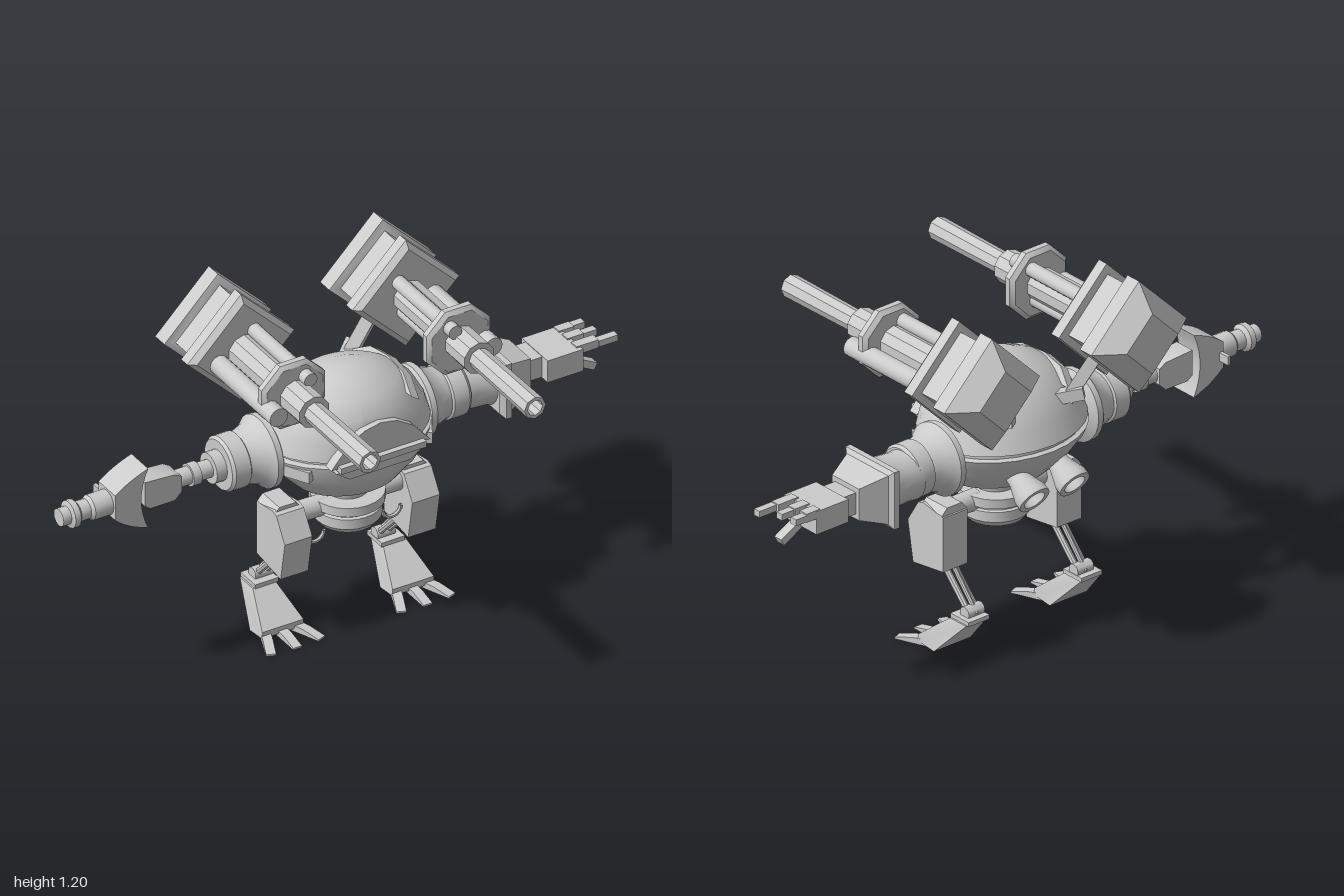
import * as THREE from 'three';
import { toCreasedNormals } from 'three/addons/utils/BufferGeometryUtils.js';

const V = (x, y, z) => new THREE.Vector3(x, y, z);
const smooth = new THREE.MeshStandardMaterial({ color: 0xcccccc, side: THREE.DoubleSide });

function add(parent, name, geo, x = 0, y = 0, z = 0) {
  const m = new THREE.Mesh(toCreasedNormals(geo, 0.6), smooth);
  m.name = name;
  m.position.set(x, y, z);
  parent.add(m);
  return m;
}
function group(parent, name, x = 0, y = 0, z = 0, mirror = 1) {
  const g = new THREE.Group();
  g.name = name;
  g.position.set(x, y, z);
  g.scale.x = mirror;
  parent.add(g);
  return g;
}
// Turned profile of [radius, distance] pairs along the x, y or z axis
function turned(pts, axis = 'y', sides = 24, twist = 0) {
  const g = new THREE.LatheGeometry(pts.map(p => new THREE.Vector2(...p)), sides);
  g.rotateY(twist);
  if (axis === 'x') g.rotateZ(-Math.PI / 2);
  if (axis === 'z') g.rotateX(Math.PI / 2);
  return g;
}
const rod = (r, a, b, axis = 'z', sides = 12) => turned([[0, a], [r, a], [r, b], [0, b]], axis, sides);
const box = (w, h, d) => new THREE.BoxGeometry(w, h, d);
function plate(pts, depth) {
  return new THREE.ExtrudeGeometry(new THREE.Shape(pts.map(p => new THREE.Vector2(...p))),
    { depth, bevelEnabled: false }).translate(0, 0, -depth / 2);
}
// Side outline of [z, y] pairs, extruded across x
const sidePlate = (pts, w) => plate(pts.map(([z, y]) => [-z, y]), w).rotateY(Math.PI / 2);
// Straight rod between two points
function strut(parent, name, a, b, r, sides = 8, r2 = r) {
  const d = b.clone().sub(a);
  const m = add(parent, name, new THREE.CylinderGeometry(r2, r, d.length(), sides));
  m.position.copy(a).addScaledVector(d, 0.5);
  m.quaternion.setFromUnitVectors(V(0, 1, 0), d.normalize());
  return m;
}

function buildBody(core) {
  const g = turned([[0, 0.5], [0.13, 0.505], [0.18, 0.53], [0.245, 0.595], [0.28, 0.65], [0.29, 0.68], [0.272, 0.685],
    [0.272, 0.697], [0.287, 0.7], [0.265, 0.76], [0.23, 0.82], [0.17, 0.873], [0.085, 0.91], [0, 0.922]], 'y', 28);
  // Lean the dome forward and flatten the face
  const p = g.attributes.position;
  for (let i = 0; i < p.count; i++) {
    const y = p.getY(i);
    p.setZ(i, Math.min(0.072, p.getZ(i) * 0.84 - 0.147 + Math.abs(y - 0.69) * 0.15));
  }
  add(core, 'bodyShell', g);
  add(core, 'browPlate', plate([[-0.18, 0.695], [0.18, 0.695], [0.12, 0.765], [0.06, 0.803], [0, 0.815], [-0.06, 0.803], [-0.12, 0.765]], 0.035), 0, 0, 0.068);
  add(core, 'upperLip', box(0.31, 0.022, 0.05), 0, 0.695, 0.08);
  add(core, 'lowerLip', plate([[-0.16, 0.675], [-0.11, 0.64], [0.11, 0.64], [0.16, 0.675]], 0.04), 0, 0, 0.062);
  for (const s of [-1, 1]) {
    const side = group(core, s > 0 ? 'leftBodyDetails' : 'rightBodyDetails', 0, 0, 0, s);
    // Pointed ridge following the dome
    const ridge = add(side, 'domeRidge', plate([[-0.17, -0.02], [-0.08, 0.022], [0.02, 0.03], [0.11, 0.015], [0.18, -0.035], [0.02, -0.03]], 0.035)
      .rotateY(Math.PI / 2), 0.165, 0.845, -0.13);
    ridge.rotation.z = -0.6;
    add(side, 'cheekFin', box(0.025, 0.04, 0.09), 0.235, 0.65, -0.02).rotation.y = -0.5;
    // Exhaust pipe with a hollow mouth
    const ex = add(side, 'exhaust', turned([[0, -0.06], [0.032, -0.06], [0.036, 0.04], [0.056, 0.1], [0.056, 0.125],
      [0.038, 0.125], [0.034, 0.06], [0, 0.06]], 'y', 16), 0.082, 0.603, -0.29);
    ex.rotation.x = -Math.PI / 2 - 0.52;
  }
  add(core, 'waist', turned([[0, 0.44], [0.064, 0.44], [0.064, 0.46], [0.082, 0.5], [0.082, 0.52], [0, 0.52]]), 0, 0, -0.115);
  add(core, 'pelvis', turned([[0, 0.36], [0.095, 0.36], [0.11, 0.38], [0.11, 0.415], [0.1, 0.418], [0.1, 0.43],
    [0.12, 0.432], [0.12, 0.464], [0, 0.464]]), 0, 0, -0.115);
}

function buildLeg(core, s) {
  const leg = group(core, s > 0 ? 'leftLeg' : 'rightLeg', 0, 0, 0, s);
  add(leg, 'hipAxle', rod(0.035, 0.08, 0.2, 'x', 16), 0, 0.435, -0.115);
  const cable = add(leg, 'hipCable', new THREE.TorusGeometry(0.033, 0.007, 6, 14, Math.PI), 0.14, 0.365, -0.08);
  cable.rotation.z = Math.PI;
  // Thigh armour with chamfered top corners
  const outline = [[-0.195, 0.275], [-0.05, 0.255], [-0.025, 0.395], [-0.075, 0.475], [-0.1, 0.482], [-0.195, 0.465]];
  add(leg, 'thigh', sidePlate(outline, 0.1), 0.232);
  add(leg, 'thighCap', plate([[-0.05, 0.44], [0.05, 0.44], [0.05, 0.47], [0.03, 0.492], [-0.03, 0.492], [-0.05, 0.47]], 0.1), 0.232, 0, -0.14);
  for (const dx of [-0.016, 0.016])
    strut(leg, 'shinRod', V(0.222 + dx, 0.29, -0.13), V(0.222 + dx, 0.145, -0.268), 0.011);
  strut(leg, 'shinPiston', V(0.222, 0.28, -0.165), V(0.222, 0.145, -0.285), 0.008);
  add(leg, 'ankleJoint', rod(0.022, 0.19, 0.255, 'x'), 0, 0.15, -0.265);
  add(leg, 'anklePlate', box(0.085, 0.015, 0.088), 0.23, 0.132, -0.262);
  // Foot widens from the ankle toward the ground
  const foot = sidePlate([[-0.3, 0.126], [-0.222, 0.126], [-0.11, 0.036], [-0.11, 0.012], [-0.185, 0.004]], 0.15);
  const p = foot.attributes.position;
  for (let i = 0; i < p.count; i++) p.setX(i, p.getX(i) * (1 - 0.45 * Math.max(0, p.getY(i) - 0.036) / 0.09));
  foot.computeVertexNormals();
  add(leg, 'foot', foot, 0.237);
  for (const k of [-1, 0, 1]) {
    const toe = add(leg, 'toe', sidePlate([[-0.03, 0], [0.1, 0], [0.1, 0.006], [0.04, 0.02], [-0.03, 0.024]], 0.032), 0.237 + k * 0.055, 0, -0.122);
    toe.rotation.y = k * 0.38;
  }
}

function buildCannon(core, s) {
  const c = group(core, s > 0 ? 'leftCannon' : 'rightCannon', s * 0.3, 1.005, 0, s);
  // Four-sided housing standing on its corner
  add(c, 'housing', turned([[0, -0.515], [0.105, -0.515], [0.195, -0.45], [0.195, -0.395], [0.16, -0.385], [0.16, -0.3],
    [0.195, -0.295], [0.195, -0.258], [0.17, -0.24], [0, -0.24]], 'z', 4));
  add(c, 'barrelSleeve', rod(0.056, -0.26, 0.18, 'z', 10));
  add(c, 'barrel', turned([[0.036, 0.15], [0.039, 0.515], [0.027, 0.515], [0.027, 0.35], [0, 0.35]], 'z', 8));
  add(c, 'collar', turned([[0, 0.022], [0.11, 0.022], [0.125, 0.035], [0.125, 0.055], [0.11, 0.066], [0, 0.066]], 'z', 8, Math.PI / 8));
  add(c, 'outerTube', rod(0.033, -0.25, 0.118), 0.09, -0.024);
  add(c, 'upperTube', rod(0.024, -0.25, 0.1), -0.037, 0.062);
  add(c, 'lowerTube', rod(0.024, -0.25, 0.04), -0.02, -0.05);
  // Bracket joining the housing to the body
  const arm = strut(core, 'cannonBracket', V(s * 0.12, 0.79, -0.315), V(s * 0.235, 0.93, -0.335), 0.032, 4);
  arm.scale.z = 0.8;
  strut(core, 'bracketFoot', V(s * 0.09, 0.8, -0.29), V(s * 0.16, 0.82, -0.35), 0.028, 4);
}

function buildShoulder(core, s) {
  const g = group(core, s > 0 ? 'leftShoulder' : 'rightShoulder', 0, 0.665, -0.17, s);
  add(g, 'shoulder', turned([[0, 0.2], [0.122, 0.27], [0.122, 0.29], [0.1, 0.315], [0.088, 0.35], [0.085, 0.365],
    [0.092, 0.37], [0.092, 0.425], [0.084, 0.435], [0, 0.435]], 'x', 28));
}

function buildHandArm(root) {
  const a = group(root, 'leftArm', 0, 0.662, -0.18);
  add(a, 'upperArm', turned([[0, 0.43], [0.086, 0.43], [0.083, 0.47], [0.087, 0.53], [0.095, 0.56], [0, 0.56]], 'x', 20));
  const q = Math.SQRT2;
  const cuff = turned([[0, 0.55], [0.085 * q, 0.55], [0.1 * q, 0.565], [0.1 * q, 0.585], [0.085 * q, 0.595],
    [0.055 * q, 0.685], [0, 0.685]], 'x', 4, Math.PI / 4);
  add(a, 'forearm', cuff.scale(1, 1, 1.17));
  add(a, 'wrist', box(0.07, 0.075, 0.1), 0.71, 0, 0);
  add(a, 'palm', box(0.13, 0.08, 0.155), 0.8, 0, 0.005);
  // Three two-jointed fingers and a lowered thumb
  [[-0.055, 0.95], [-0.005, 0.96], [0.05, 1]].forEach(([z, end], i) => {
    const y = 0.03, mid = (0.86 + end) / 2;
    add(a, 'fingerBase', box(mid - 0.85, 0.03, 0.034), (mid + 0.85) / 2, y, z);
    add(a, 'fingerTip', box(end - mid, 0.022, 0.026), (mid + end) / 2, y, z + (i - 1) * 0.006);
  });
  const thumb = add(a, 'thumb', box(0.11, 0.026, 0.034), 0.89, -0.047, 0.02);
  thumb.rotation.z = -0.5;
}

function buildToolArm(root) {
  const a = group(root, 'rightArm', 0, 0.665, -0.168);
  add(a, 'elbowDisc', rod(0.052, -0.455, -0.4, 'x', 20));
  add(a, 'armShaft', rod(0.03, -0.6, -0.44, 'x', 16));
  add(a, 'shaftRing', rod(0.038, -0.53, -0.5, 'x', 16));
  add(a, 'forearmBlock', plate([[-0.71, -0.035], [-0.69, -0.05], [-0.6, -0.05], [-0.575, -0.025], [-0.575, 0.03],
    [-0.6, 0.045], [-0.71, 0.052]], 0.075));
  // Flared guard with swept points
  const guard = new THREE.Shape();
  guard.moveTo(-0.705, -0.108);
  guard.quadraticCurveTo(-0.755, 0, -0.705, 0.11);
  guard.quadraticCurveTo(-0.78, 0.085, -0.825, 0.048);
  guard.lineTo(-0.825, -0.042);
  guard.quadraticCurveTo(-0.78, -0.085, -0.705, -0.108);
  add(a, 'guard', new THREE.ExtrudeGeometry(guard, { depth: 0.1, bevelEnabled: false, curveSegments: 8 }).translate(0, 0, -0.05));
  add(a, 'guardPost', box(0.012, 0.03, 0.06), -0.815, 0, -0.06);
  add(a, 'nozzle', turned([[0, -1], [0.03, -1], [0.03, -0.97], [0.046, -0.965], [0.046, -0.945], [0.033, -0.935],
    [0.033, -0.9], [0.042, -0.89], [0.042, -0.81], [0, -0.81]], 'x', 14));
}

export function createModel() {
  const root = new THREE.Group();
  root.name = 'walkerRobot';
  const core = group(root, 'core', 0.017);
  buildBody(core);
  for (const s of [-1, 1]) {
    buildLeg(core, s);
    buildCannon(core, s);
    buildShoulder(core, s);
  }
  buildHandArm(root);
  buildToolArm(root);
  return root;
}
